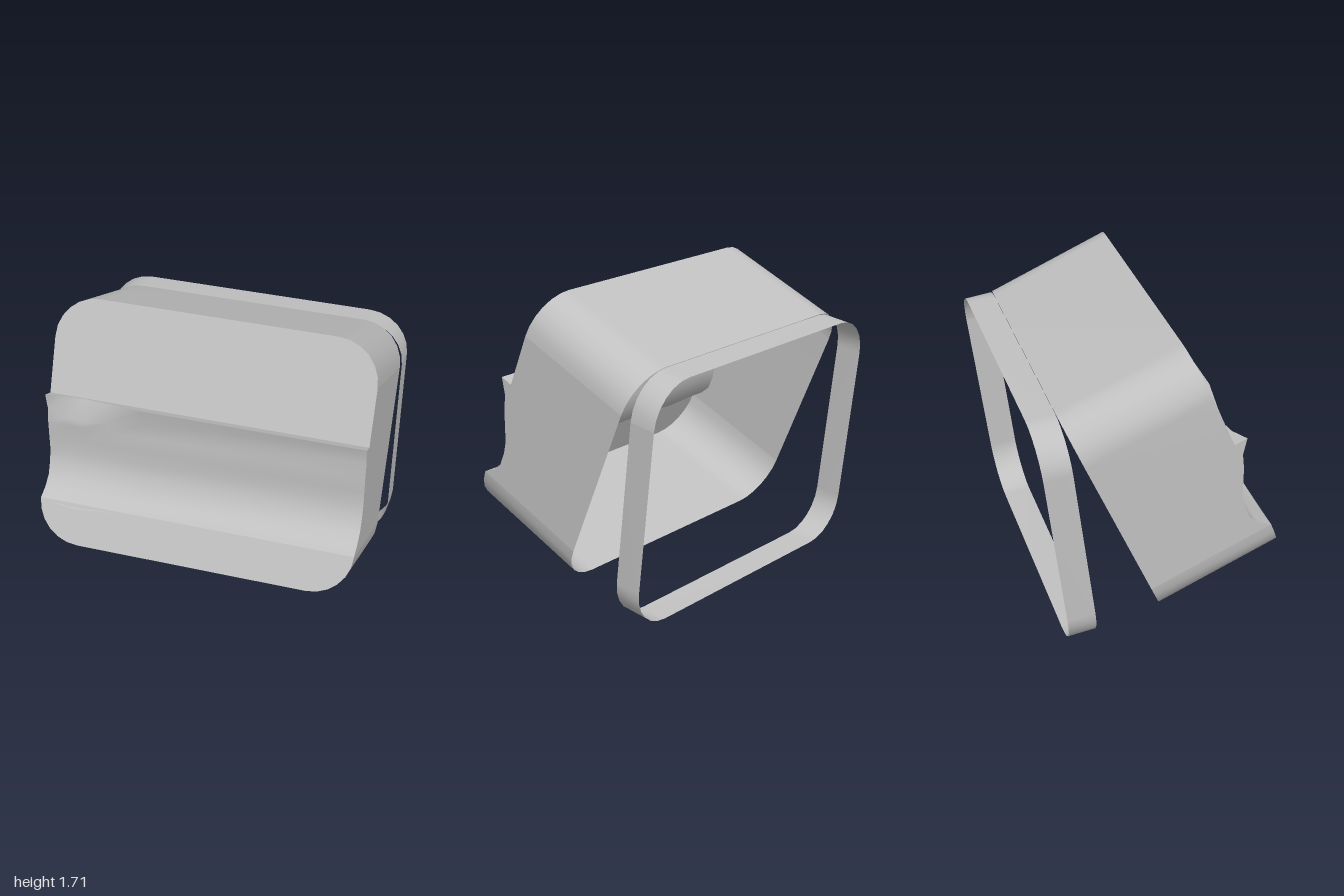
import * as THREE from 'three';

const HALF = 0.905;                 // half width of the housing
const LOW = 0.107, TALL = 1.409;    // bottom and height of the housing
const R = 0.24;                     // corner radius
const FRONT = 0.808, BACK = 0.068;  // depth of the front face and the open rim
const YAW = 0.2, TILT = 0.401, RING_TILT = 0.118;

// Groove section from the upper lip to the lower edge: [height, depth]
const GROOVE = [
  [0.956, 0.884], [0.873, 0.827], [0.786, 0.801], [0.7, 0.765], [0.619, 0.73],
  [0.548, 0.718], [0.465, 0.719], [0.402, 0.753], [0.348, FRONT],
];

// Stations along the groove: [x, how strongly the lip is dented]
const STATIONS = [[-HALF, 0], [-0.79, 0.75], [-0.69, 1], [-0.55, 0.6], [-0.33, 0], [HALF, 0]];

// Quarter-circle corner as [x, y] points
function corner(cx, cy, start) {
  return Array.from({ length: 7 }, (_, i) => {
    const a = start + (i / 6) * Math.PI / 2;
    return [cx + R * Math.cos(a), cy + R * Math.sin(a)];
  });
}

function topCorners(low) {
  const y = low + TALL - R;
  return [...corner(HALF - R, y, 0), ...corner(-HALF + R, y, Math.PI / 2)];
}

function bottomCorners(low) {
  const y = low + R;
  return [...corner(-HALF + R, y, Math.PI), ...corner(HALF - R, y, Math.PI * 1.5)];
}

// Smooth surface through rows of [x, y, z] points
function loft(rows) {
  const n = rows[0].length, index = [];
  for (let i = 0; i < rows.length - 1; i++) {
    for (let j = 0; j < n - 1; j++) {
      const a = i * n + j, b = a + n;
      index.push(a, b, a + 1, b, b + 1, a + 1);
    }
  }
  const g = new THREE.BufferGeometry();
  g.setAttribute('position', new THREE.Float32BufferAttribute(rows.flat(2), 3));
  g.setIndex(index);
  g.computeVertexNormals();
  return g;
}

export function createModel() {
  const grey = new THREE.MeshStandardMaterial({ color: 0xc0c0c0, side: THREE.DoubleSide });
  grey.name = 'light grey';

  const model = new THREE.Group();
  model.rotation.y = YAW;
  const housing = new THREE.Group();
  housing.name = 'housing';
  housing.rotation.x = -TILT;
  model.add(housing);

  const add = (parent, name, geometry) => {
    const mesh = new THREE.Mesh(geometry, grey);
    mesh.name = name;
    parent.add(mesh);
    return mesh;
  };

  // Wall around the housing, its sides cut to the groove section
  const side = [[0.956, FRONT], ...GROOVE];
  const atFront = ([x, y]) => [x, y, FRONT];
  const rim = [
    ...topCorners(LOW).map(atFront),
    ...side.map(([y, z]) => [-HALF, y, z]),
    ...bottomCorners(LOW).map(atFront),
    ...side.slice().reverse().map(([y, z]) => [HALF, y, z]),
  ];
  rim.push(rim[0]);
  add(housing, 'wall', loft([rim, rim.map(([x, y]) => [x, y, BACK])]));

  // Flat front panels above and below the groove
  const panel = (name, points) => {
    const shape = new THREE.Shape(points.map(([x, y]) => new THREE.Vector2(x, y)));
    add(housing, name, new THREE.ShapeGeometry(shape)).position.z = FRONT;
  };
  panel('upperFrontPanel', [...topCorners(LOW), [-HALF, 0.956], [HALF, 0.956]]);
  panel('lowerFrontPanel', [...bottomCorners(LOW), [HALF, 0.348], [-HALF, 0.348]]);

  // Groove with a dent near one end
  const last = GROOVE.length - 1;
  const rows = GROOVE.map(([y, z], i) => STATIONS.map(([x, d]) => {
    if (i === 0) return [x, y, z - 0.06 * d];
    if (i === 1) return [x, y - 0.05 * d, z];
    if (i === last) return [x, y - 0.03 * d, z + 0.003 * d];
    return [x, y, z];
  }));
  add(housing, 'groove', loft(rows));

  // Narrow ledge on top of the lip
  add(housing, 'lipLedge', loft([STATIONS.map(([x]) => [x, 0.956, FRONT]), rows[0]]));

  // Thin ring hinged at the upper back edge
  const ringLow = 0.062;
  const loop = [...topCorners(ringLow), ...bottomCorners(ringLow)];
  loop.push(loop[0]);
  const ring = add(model, 'backRing', loft([-0.358, -0.516].map((z) => loop.map(([x, y]) => [x, y, z]))));
  ring.rotation.x = -RING_TILT;

  const group = new THREE.Group();
  group.add(model);
  return group;
}
